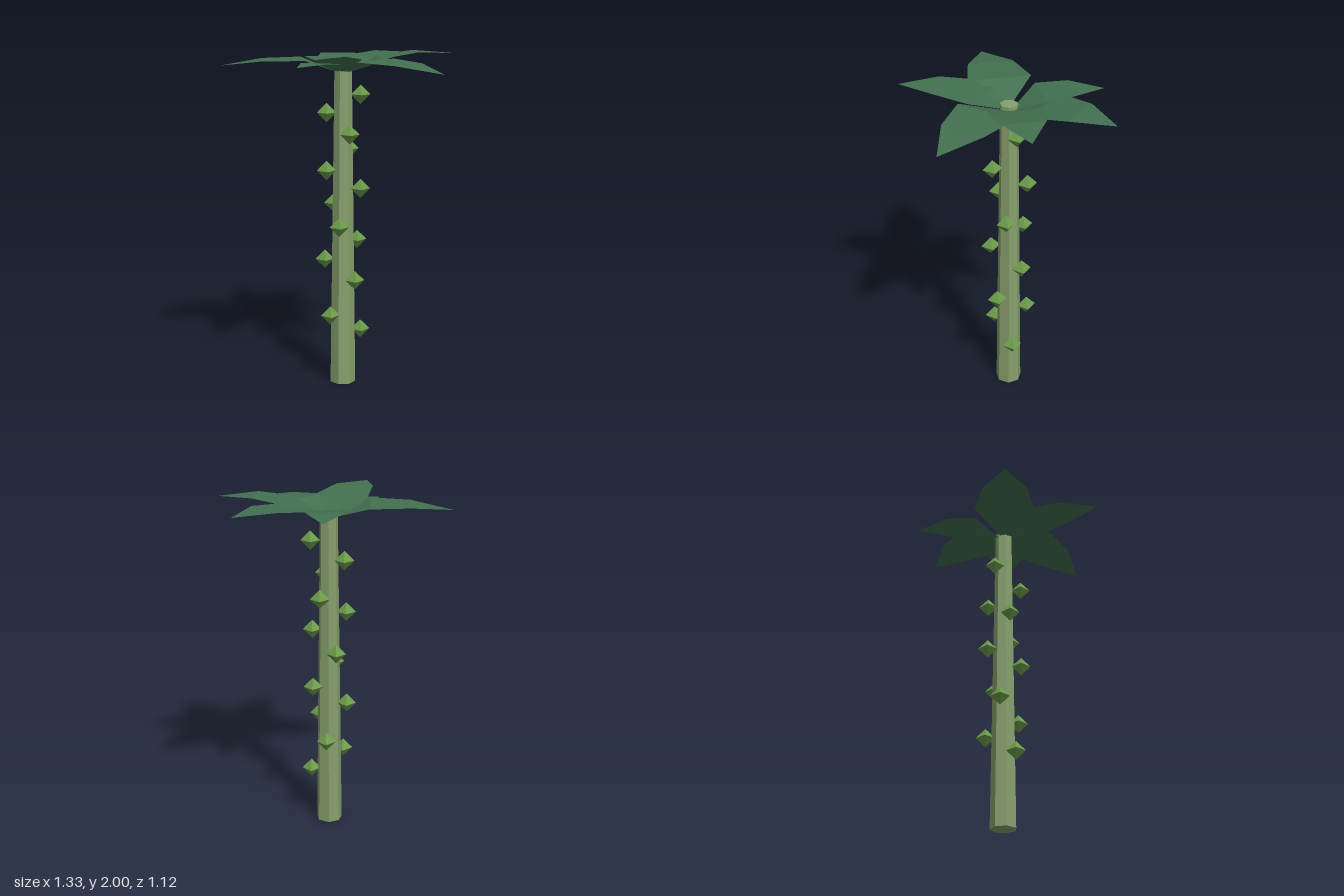
import * as THREE from 'three';

const CX = 0.036, CZ = -0.02; // stem axis

function mat(name, color, extra = {}) {
  const m = new THREE.MeshStandardMaterial({ color, flatShading: true, ...extra });
  m.name = name;
  return m;
}

// Flat-bladed leaf pointing along +x: base point, widest row, shoulder row, tip
function leafGeometry(length, yWide, yShoulder, yTip) {
  const rows = [
    [0.02, 1.878, 0.006],
    [0.33 * length, yWide, 0.26 * length],
    [0.66 * length, yShoulder, 0.188 * length],
    [length, yTip, 0],
  ];
  const pos = [], index = [];
  rows.forEach(([x, y, half], i) => {
    pos.push(x, y, -half, x, y, half);
    if (i === 0) return;
    const a = 2 * (i - 1), b = a + 1, c = a + 2, d = a + 3;
    index.push(a, b, c);
    if (half > 0) index.push(b, d, c);
  });
  const g = new THREE.BufferGeometry();
  g.setAttribute('position', new THREE.Float32BufferAttribute(pos, 3));
  g.setIndex(index);
  g.computeVertexNormals();
  return g;
}

export function createModel() {
  const model = new THREE.Group();
  model.name = 'sproutPlant';
  const stemMat = mat('stemGreen', 0x869f6c);
  const budMat = mat('budGreen', 0x6b9b49);
  const leafMat = mat('leafGreen', 0x427050, { side: THREE.DoubleSide });

  // Tapered seven-sided stem
  const stemTop = 1.91;
  const stem = new THREE.Mesh(new THREE.CylinderGeometry(0.052, 0.078, stemTop, 7), stemMat);
  stem.name = 'stem';
  stem.position.set(CX, stemTop / 2, CZ);
  stem.rotation.y = Math.PI;
  model.add(stem);

  // Buds spiralling up the stem by the golden angle
  const buds = new THREE.Group();
  buds.name = 'buds';
  const budGeo = new THREE.OctahedronGeometry(0.057);
  for (let i = 0; i < 14; i++) {
    const a = THREE.MathUtils.degToRad(2 + 137.5 * i);
    const bud = new THREE.Mesh(budGeo, budMat);
    bud.name = 'bud';
    bud.position.set(CX + 0.107 * Math.cos(a), 0.33 + 0.1093 * i, CZ + 0.107 * Math.sin(a));
    buds.add(bud);
  }
  model.add(buds);

  // Crown leaves: tip x, tip z, then heights of widest row, shoulder and tip
  const crown = new THREE.Group();
  crown.name = 'crown';
  const leaves = [
    [0.045, -0.56, 1.955, 1.97, 1.95],
    [0.533, -0.475, 1.96, 1.98, 1.963],
    [0.665, 0.015, 1.968, 2.0, 1.99],
    [0.533, 0.475, 1.96, 1.947, 1.905],
    [-0.175, 0.555, 1.972, 2.0, 1.995],
    [-0.255, 0.32, 1.94, 1.948, 1.935],
    [-0.668, -0.02, 1.96, 1.957, 1.925],
  ];
  for (const [x, z, yw, ys, yt] of leaves) {
    const dx = x - CX, dz = z - CZ;
    const leaf = new THREE.Mesh(leafGeometry(Math.hypot(dx, dz), yw, ys, yt), leafMat);
    leaf.name = 'leaf';
    leaf.position.set(CX, 0, CZ);
    leaf.rotation.y = -Math.atan2(dz, dx);
    crown.add(leaf);
  }
  model.add(crown);
  return model;
}
